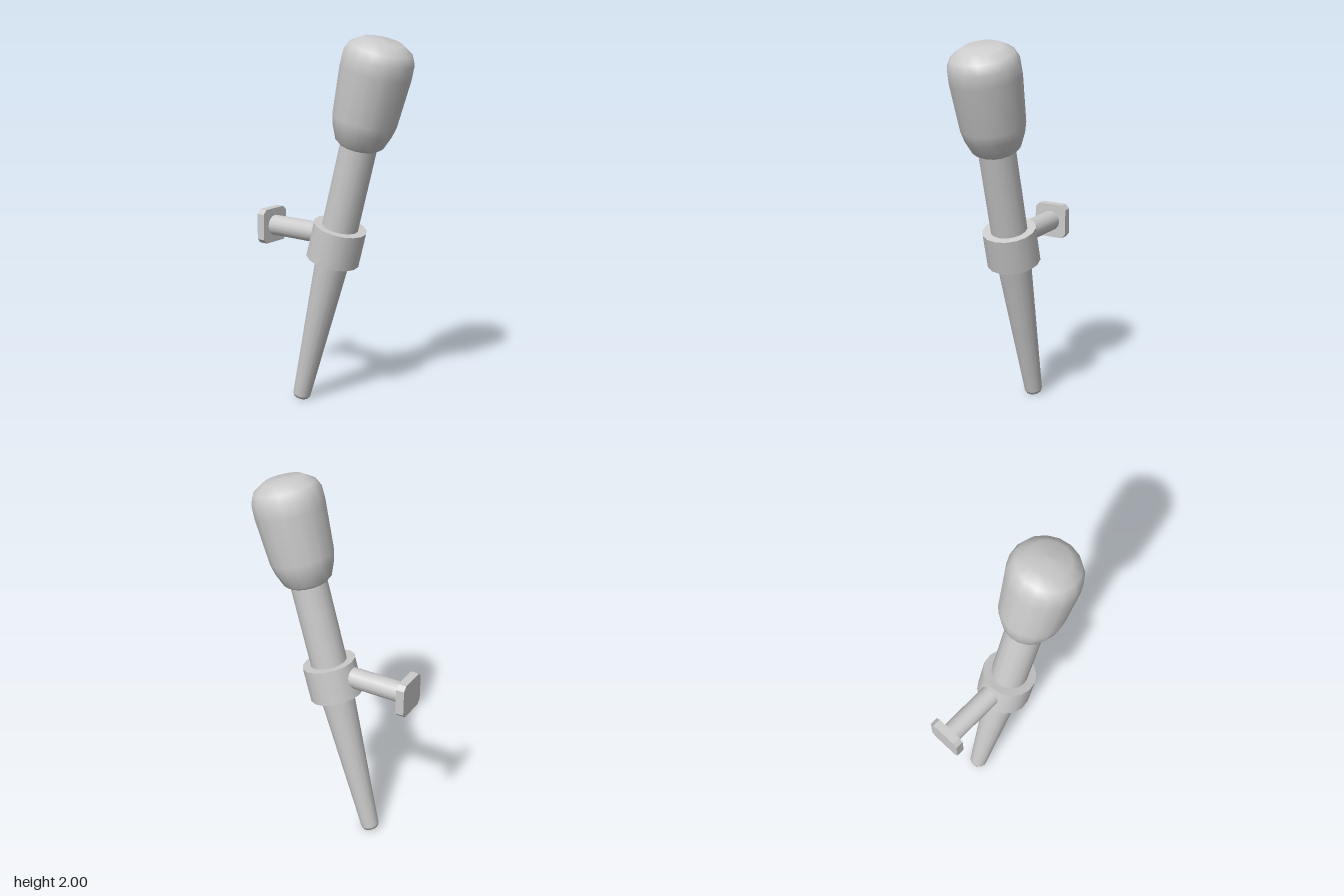
import * as THREE from 'three';

const material = new THREE.MeshStandardMaterial({ color: 0xcccccc });

function addMesh(parent, name, geometry, x = 0, y = 0, z = 0) {
  const mesh = new THREE.Mesh(geometry, material);
  mesh.name = name;
  mesh.position.set(x, y, z);
  parent.add(mesh);
  return mesh;
}

const lathe = (points) =>
  new THREE.LatheGeometry(points.map(([r, y]) => new THREE.Vector2(r, y)), 16);

export function createModel() {
  const model = new THREE.Group();
  model.name = 'wallTorch';

  // Torch leans forward; its parts are stacked along the group's own y axis
  const torch = new THREE.Group();
  torch.name = 'torch';
  torch.position.set(0, 0.012, -0.228);
  torch.rotation.x = THREE.MathUtils.degToRad(15);
  model.add(torch);

  // Tapered lower handle with a softened tip
  addMesh(torch, 'handle', lathe([[0.049, 0.015], [0.092, 0.85]]));
  addMesh(torch, 'handleTip', lathe([[0, 0], [0.043, 0], [0.049, 0.015]]));

  // Straight upper shaft and the holding collar
  addMesh(torch, 'shaft', new THREE.CylinderGeometry(0.097, 0.097, 0.65, 16), 0, 1.175, 0);
  addMesh(torch, 'collar', new THREE.CylinderGeometry(0.142, 0.142, 0.19, 16), 0, 0.938, 0);

  // Rounded head
  addMesh(torch, 'head', lathe([
    [0, 1.478], [0.1, 1.482], [0.125, 1.5], [0.155, 1.575], [0.168, 1.63],
    [0.184, 1.88], [0.182, 1.948], [0.16, 1.995], [0.103, 2.032], [0, 2.038],
  ]));

  // Horizontal rod from the collar to the wall
  const rod = new THREE.CylinderGeometry(0.055, 0.055, 0.34, 16).rotateX(Math.PI / 2);
  addMesh(model, 'bracketRod', rod, 0, 0.957, -0.25);

  // Wall plate with cut corners
  const h = 0.093, c = 0.07;
  const outline = new THREE.Shape(
    [[h, -c], [h, c], [c, h], [-c, h], [-h, c], [-h, -c], [-c, -h], [c, -h]]
      .map(([x, y]) => new THREE.Vector2(x, y)));
  const plate = new THREE.ExtrudeGeometry(outline, { depth: 0.045, bevelEnabled: false });
  addMesh(model, 'wallPlate', plate, 0, 0.957, -0.45);

  return model;
}
